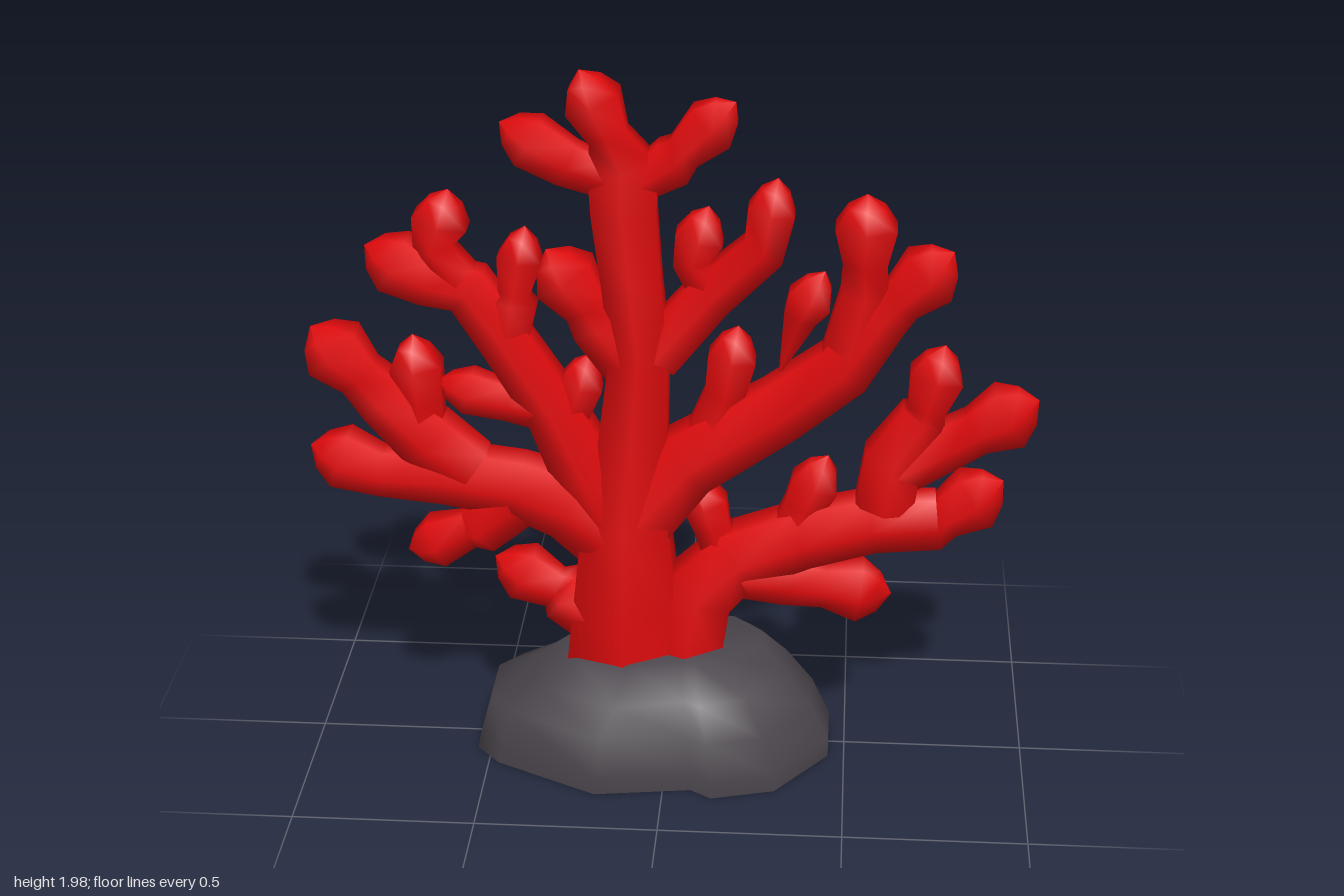
import * as THREE from 'three';

const coralRed = new THREE.MeshStandardMaterial({ color: 0xdc0a0c });
coralRed.name = 'coral red';
const rockGrey = new THREE.MeshStandardMaterial({ color: 0x49444a });
rockGrey.name = 'rock grey';

// Skin a list of equal-length rings, each counter-clockwise about the path.
function loft(rings) {
  const n = rings[0].length, pos = [], index = [];
  rings.forEach(ring => ring.forEach(p => pos.push(...p)));
  for (let i = 0; i < rings.length - 1; i++) {
    for (let j = 0; j < n; j++) {
      const a = i * n + j, b = i * n + (j + 1) % n;
      index.push(a, b, a + n, b, b + n, a + n);
    }
  }
  const g = new THREE.BufferGeometry();
  g.setAttribute('position', new THREE.Float32BufferAttribute(pos, 3));
  g.setIndex(index);
  g.computeVertexNormals();
  return g;
}

// Six-sided tapering branch in the xy plane; points are [x, y, radius, depth] in hundredths,
// depth being optional. The last point is the middle of the swollen tip.
function branch(name, points) {
  const p = points.map(q => q.map(v => v / 100));
  const [ax, ay, ar] = p[p.length - 2], [bx, by, br] = p[p.length - 1];
  const len = Math.hypot(bx - ax, by - ay), ux = (bx - ax) / len, uy = (by - ay) / len;
  // narrow neck before the tip, blunt point after it
  if (len > 0.12) p.splice(p.length - 1, 0, [bx - ux * 0.1, by - uy * 0.1, Math.min(ar, br * 0.72)]);
  p.push([bx + ux * 0.055, by + uy * 0.055, br * 0.6], [bx + ux * 0.09, by + uy * 0.09, 0]);
  const rings = p.map(([x, y, r, depth = r * 1.15], i) => {
    const s = p[Math.max(0, i - 1)], e = p[Math.min(p.length - 1, i + 1)];
    const l = Math.hypot(e[0] - s[0], e[1] - s[1]);
    const tx = (e[0] - s[0]) / l, ty = (e[1] - s[1]) / l;
    return Array.from({ length: 6 }, (_, k) => {
      const a = (k + 0.5) * Math.PI / 3;
      const c = Math.cos(a) * r * 1.15, d = Math.sin(a) * depth;
      return [x - ty * c, y + tx * c, d];
    });
  });
  const mesh = new THREE.Mesh(loft(rings), coralRed);
  mesh.name = name;
  return mesh;
}

const branches = {
  trunk: [[-12, 26, 16.5, 15], [-12, 45, 14.5, 14.5], [-12, 68, 12, 14], [-10, 92, 9.5, 11], [-8, 120, 8, 11],
    [-10, 140, 8, 9], [-12, 160, 8.7, 8], [-12, 172, 9.5, 7.5], [-20, 190, 7.5, 9.5]],
  topLeftTwig: [[-17, 169, 5], [-27, 173, 6], [-37, 179, 7]],
  topRightTwig: [[-8, 168, 5], [1, 174, 6.5], [11, 184, 7]],
  trunkLeftTwig: [[-10, 114, 6.5], [-19, 128, 7.5], [-28, 141, 8.5]],
  // upper left
  upperLeftBranch: [[-17, 70, 9], [-23, 84, 9], [-32, 103, 7.5], [-44, 122, 7], [-54, 137, 7], [-65, 139, 6.5], [-74, 144, 8]],
  upperLeftTwig: [[-55, 137, 6], [-63, 148, 5.5], [-61, 156, 7.5]],
  upperLeftInnerTwig: [[-44, 123, 6], [-42, 134, 6.5], [-40, 146, 6]],
  innerLeftKnob: [[-29, 95, 5], [-26, 103, 5], [-24, 110, 6]],
  middleLeftTwig: [[-34, 102, 5.5], [-44, 104, 5], [-55, 107, 6]],
  // left
  leftBranch: [[-18, 66, 10], [-28, 74, 9.5], [-42, 79, 8.5], [-62, 82, 8], [-80, 82, 6.5], [-91, 86, 8]],
  leftRisingTwig: [[-55, 83, 8], [-66, 92, 8.5], [-78, 104, 7.5], [-91.5, 118, 8.7]],
  leftShortTwig: [[-68, 94, 6.5], [-68, 104, 6], [-69, 114, 7]],
  leftHangingTwig: [[-43, 74, 7.5], [-53, 66, 7.5], [-65, 61, 7]],
  lowLeftTwig: [[-20, 39, 8], [-30, 46, 7.5], [-41, 52, 7.5]],
  // upper right
  upperRightBranch: [[-8, 72, 10], [5, 88, 9.5], [30, 104, 8.5], [47, 117, 8], [57, 132, 7], [69, 144, 8.3]],
  upperRightTwig: [[48, 121, 7], [52, 138, 6.5], [52, 157, 8.2]],
  loneSpike: [[30, 115, 0.5], [35, 131, 4.5], [37.5, 136, 6]],
  innerRightKnob: [[11, 97, 6], [15, 108, 5.5], [17, 119, 6.5]],
  trunkRightTwig: [[-4, 119, 7], [11, 137, 6.5], [25, 150, 6], [27, 161, 6.3]],
  trunkRightKnob: [[10, 139, 5], [6, 146, 5], [8, 153, 6.5]],
  // lower right
  lowRightBranch: [[4, 27, 10.5], [8, 48, 10], [19, 59, 9], [37, 66, 8.5], [56, 71, 8], [74, 72, 7.5], [84, 79, 8.2]],
  rightRisingTwig: [[59, 76, 8], [61, 90, 8], [69, 103, 6.5], [72, 115, 7.2]],
  rightOuterTwig: [[62, 87, 7], [76, 95, 6.5], [92, 104, 8.5]],
  rightInnerKnob: [[34, 67, 6], [37, 75, 5.5], [40, 82, 6.5]],
  rightSmallKnob: [[15, 60, 5.5], [12, 68, 5], [10, 75, 6]],
  rightHangingTwig: [[16, 55, 7], [33, 52, 6.5], [53, 49.5, 8]],
};

// Lumpy rock: one notched outline, shrunk level by level, mirrored front to back.
function makeRock() {
  const half = [[1, 0.08], [0.68, 0.28], [0.3, 0.33], [0.17, 0.29], [-0.33, 0.33], [-0.83, 0.18], [-0.95, 0.1]];
  const outline = [...half.map(([x, z]) => [x, -z]), ...half.slice().reverse()];
  // [height, left end, right end, depth scale, tilt]
  const levels = [[0, -0.54, 0.455, 1, 0], [0.05, -0.53, 0.455, 1, 0], [0.16, -0.5, 0.405, 0.94, 0],
    [0.24, -0.38, 0.33, 0.77, 0.06], [0.315, -0.29, 0.26, 0.45, 0.07]];
  const rings = levels.map(([y, l, r, s, tilt]) => outline.map(([u, z]) => {
    const x = u < 0 ? -u / 0.95 * l : u * r;
    return [x, y + tilt * x, z * s];
  }));
  // flat underside and top cap
  const centre = y => outline.map(() => [-0.03, y, 0]);
  const mesh = new THREE.Mesh(loft([centre(0), rings[0], ...rings, centre(0.315)]), rockGrey);
  mesh.name = 'rock';
  return mesh;
}

export function createModel() {
  const model = new THREE.Group();
  model.name = 'coral on rock';
  const coral = new THREE.Group();
  coral.name = 'coral';
  for (const [name, points] of Object.entries(branches)) coral.add(branch(name, points));
  model.add(coral, makeRock());
  return model;
}
